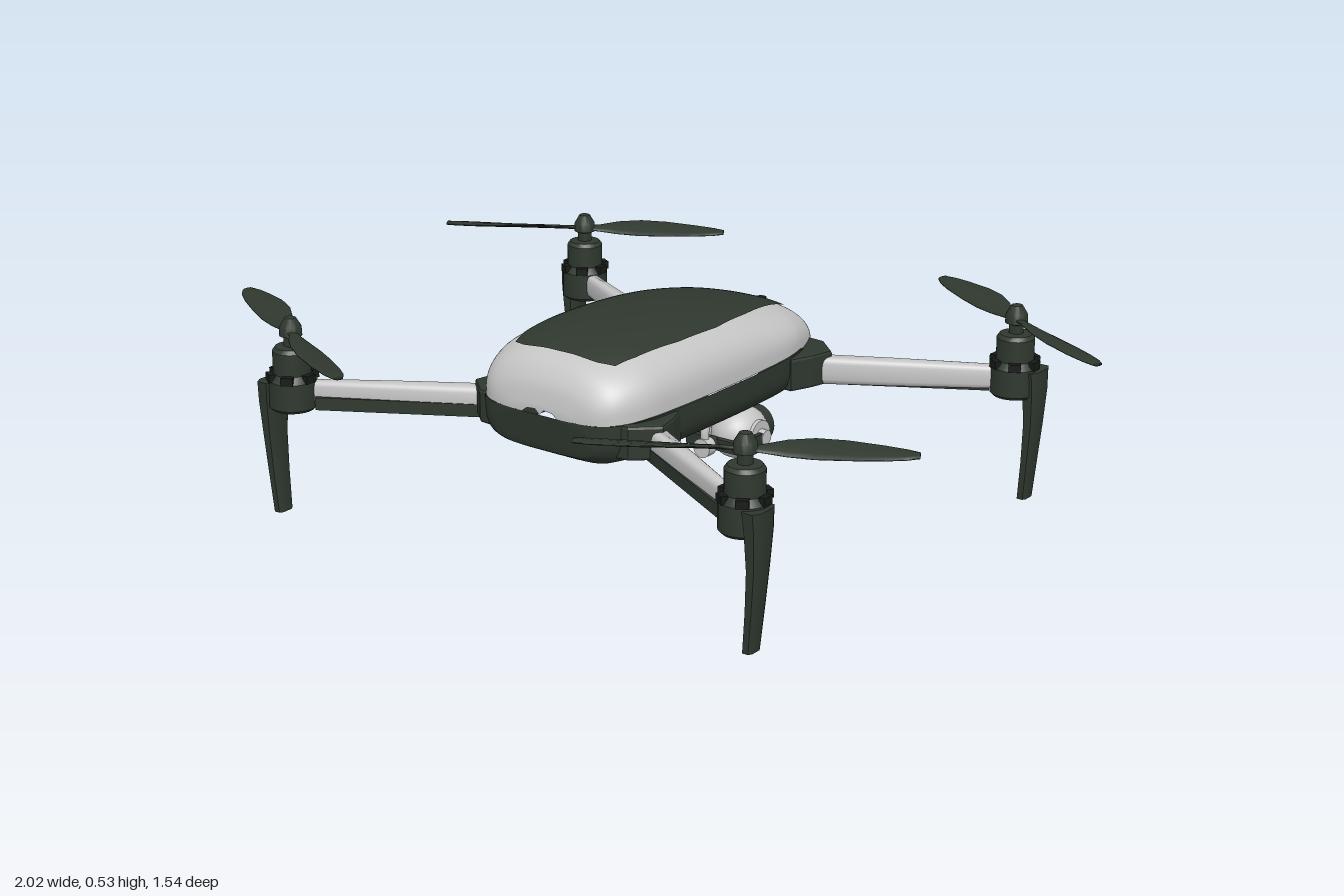
import * as THREE from 'three';
import { mergeVertices, toCreasedNormals } from 'three/addons/utils/BufferGeometryUtils.js';

const V = (x, y, z) => new THREE.Vector3(x, y, z);
const paint = (name, color) => Object.assign(new THREE.MeshStandardMaterial({ color }), { name });

// Linear lookup in a table of [key, value] rows
function look(table, k, col = 1) {
  let i = 1;
  while (i < table.length - 1 && table[i][0] < k) i++;
  const a = table[i - 1], b = table[i];
  return THREE.MathUtils.lerp(a[col], b[col], THREE.MathUtils.clamp((k - a[0]) / (b[0] - a[0]), 0, 1));
}

// Skin a row of cross-sections; closed sections wrap around and get end caps
function loft(rings, closed) {
  const n = rings[0].length, idx = [], pts = rings.flat();
  for (let i = 0; i < rings.length - 1; i++)
    for (let j = 0; j < (closed ? n : n - 1); j++) {
      const a = i * n + j, b = i * n + (j + 1) % n;
      idx.push(a, b, a + n, b, b + n, a + n);
    }
  if (closed) {
    const e = (rings.length - 1) * n;
    for (let j = 1; j < n - 1; j++) idx.push(0, j + 1, j, e, e + j, e + j + 1);
  }
  const g = new THREE.BufferGeometry().setFromPoints(pts);
  g.setIndex(idx);
  g.computeVertexNormals();
  return g;
}

// Copy a geometry to another corner, keeping its faces outward
function mirrored(src, sx, sz) {
  const g = src.index ? src.clone() : mergeVertices(src);
  g.scale(sx, 1, sz);
  if (sx * sz < 0) {
    const a = g.index.array;
    for (let i = 0; i < a.length; i += 3) [a[i], a[i + 1]] = [a[i + 1], a[i]];
  }
  return g;
}

// Body stations: z, half width, top height
const stations = [
  [-0.49, 0, 0.33], [-0.488, 0.06, 0.36], [-0.47, 0.125, 0.395], [-0.43, 0.165, 0.425], [-0.35, 0.205, 0.455],
  [-0.25, 0.235, 0.48], [-0.1, 0.247, 0.507], [0.1, 0.248, 0.522], [0.25, 0.243, 0.519], [0.33, 0.235, 0.507],
  [0.4, 0.205, 0.48], [0.435, 0.165, 0.44], [0.45, 0.1, 0.39], [0.452, 0, 0.36]];
const seam = [[-0.5, 0.33], [-0.4, 0.34], [-0.3, 0.37], [0.32, 0.37], [0.46, 0.36]];
const belly = [[-0.49, 0.33], [-0.47, 0.28], [-0.42, 0.25], [0.4, 0.25], [0.44, 0.27], [0.452, 0.36]];
const panelEdge = [
  [-0.44, 0], [-0.435, 0.06], [-0.41, 0.095], [-0.3, 0.125], [-0.15, 0.16], [0, 0.18],
  [0.15, 0.18], [0.3, 0.165], [0.355, 0.15], [0.372, 0.11], [0.375, 0]];
const body = new THREE.CatmullRomCurve3(stations.map(s => V(...s))).getPoints(78).map(p => [p.x, Math.max(p.y, 0), p.z]);

function topAt(x, z) {
  const t = Math.min(1, Math.abs(x) / Math.max(look(body, z), 1e-4)), s = look(seam, z);
  return s + Math.max(0, look(body, z, 2) - s) * Math.pow(1 - Math.pow(t, 2.4), 1 / 2.8);
}

export function createModel() {
  const model = new THREE.Group();
  const dark = paint('dark green grey', 0x2f382f);
  const pale = paint('pale grey', 0xc6c6c6);
  const black = paint('black', 0x161a17);
  const add = (name, geo, mat, x = 0, y = 0, z = 0, parent = model) => {
    const m = new THREE.Mesh(geo, mat);
    m.name = name;
    m.position.set(x, y, z);
    parent.add(m);
    return m;
  };
  const steps = n => Array.from({ length: n + 1 }, (_, i) => i / n);

  // Upper shell, lower hull and the inlaid top panel
  add('upperShell', loft(body.map(([z, w]) => steps(40).map(u => {
    const x = w * Math.sin(Math.PI * (0.5 - u));
    return V(x, topAt(x, z), z);
  }))), pale);
  add('lowerHull', loft(body.map(([z, w]) => steps(32).map(u => {
    const c = -Math.cos(Math.PI * u), s = Math.sin(Math.PI * u), top = look(seam, z);
    const x = w * 1.015 * Math.sign(c) * Math.pow(Math.abs(c), 0.45);
    return V(x, top - Math.max(0, top - look(belly, z)) * Math.pow(Math.max(s, 0), 0.5), z);
  }))), dark);
  add('topPanel', loft(steps(80).map(v => {
    const z = -0.4075 - 0.0 + 0.391 - 0.016 - 0.4075 * Math.cos(Math.PI * v);
    return steps(24).map(u => {
      const x = look(panelEdge, z) * (1 - 2 * u);
      return V(x, topAt(x, z) + 0.005, z);
    });
  })), dark);
  add('powerButton', new THREE.CylinderGeometry(0.014, 0.014, 0.012, 16), black, 0, topAt(0, -0.445) + 0.004, -0.445);

  // Belly: battery cover with grooves
  add('batteryCover', new THREE.BoxGeometry(0.24, 0.008, 0.46), dark, 0, 0.248, 0.08);
  for (const s of [-1, 1]) {
    add('batteryGrooveSide', new THREE.BoxGeometry(0.008, 0.004, 0.44), black, s * 0.1, 0.243, 0.08);
    add('batteryGrooveEnd', new THREE.BoxGeometry(0.2, 0.004, 0.008), black, 0, 0.243, 0.08 + s * 0.21);
  }

  // One corner: shoulder, arm, motor, leg and propeller
  const armAngle = Math.atan2(0.24, 0.42);
  const placeArm = g => g.rotateY(-armAngle).translate(0.24, 0, 0.325);
  const shoulderShape = new THREE.Shape([[0.16, 0.4], [0.22, 0.395], [0.275, 0.345], [0.262, 0.29], [0.24, 0.235], [0.15, 0.24]]
    .map(p => new THREE.Vector2(...p)));
  const shoulder = new THREE.ExtrudeGeometry(shoulderShape,
    { depth: 0.07, bevelSize: 0.008, bevelThickness: 0.008, bevelSegments: 2 }).rotateX(Math.PI / 2).translate(0, 0.357, 0);

  const arm = placeArm(loft([[0, 0.026, 0.036], [0.2, 0.024, 0.034], [0.45, 0.018, 0.03]].map(([x, w, h]) =>
    steps(15).map(u => {
      const a = u * 15 / 16 * Math.PI * 2, c = Math.cos(a), s = Math.sin(a);
      return V(x, 0.314 + h * Math.sign(c) * Math.abs(c) ** 0.6, w * Math.sign(s) * Math.abs(s) ** 0.6);
    })), true));
  const armStrip = placeArm(new THREE.BoxGeometry(0.42, 0.032, 0.026).translate(0.23, 0.291, 0.014));

  const motor = new THREE.LatheGeometry([
    [0, 0.27], [0.052, 0.27], [0.06, 0.278], [0.06, 0.345], [0.047, 0.362], [0.047, 0.418], [0.04, 0.428], [0.018, 0.43],
    [0.018, 0.452], [0.028, 0.456], [0.027, 0.478], [0.014, 0.5], [0, 0.505]].map(p => new THREE.Vector2(...p)), 28);
  const motorGeo = toCreasedNormals(motor, 0.6).translate(0.675, 0, 0.573);

  const leg = toCreasedNormals(loft([
    [0, 0.708, 0.013, 0.59, 0.023], [0.1, 0.717, 0.014, 0.59, 0.027], [0.2, 0.724, 0.017, 0.59, 0.031],
    [0.29, 0.725, 0.022, 0.59, 0.038], [0.34, 0.722, 0.024, 0.59, 0.042]].map(([y, x, w, z, d]) =>
    [[0.6, 1], [1, 0.6], [1, -0.6], [0.6, -1], [-0.6, -1], [-1, -0.6], [-1, 0.6], [-0.6, 1]]
      .map(([a, b]) => V(x + a * w, y, z + b * d))), true), 0.9);

  // Blade sections: distance, half chord, chord offset, twist
  const blade = loft([
    [0, 0.014, 0, 0.1], [0.04, 0.016, 0, 0.3], [0.09, 0.03, -0.004, 0.32], [0.15, 0.04, -0.006, 0.28],
    [0.22, 0.041, -0.005, 0.22], [0.3, 0.034, 0, 0.16], [0.35, 0.025, 0.003, 0.12], [0.378, 0.014, 0.004, 0.1]]
    .map(([x, c, off, tw]) => steps(9).map(u => {
      const a = u * 0.9 * Math.PI * 2, y = 0.005 * Math.cos(a), z = off + c * Math.sin(a);
      return V(x, y * Math.cos(tw) - z * Math.sin(tw), y * Math.sin(tw) + z * Math.cos(tw));
    })), true);
  const placeBlade = turn => blade.clone().rotateY(0.53 + turn).translate(0.675, 0.464, 0.573);

  const corner = [
    ['shoulder', shoulder, dark], ['arm', arm, pale], ['armUnderStrip', armStrip, dark], ['motor', motorGeo, dark],
    ['landingLeg', leg, dark], ['propellerBlade', placeBlade(0), dark], ['propellerBlade', placeBlade(Math.PI), dark]];
  for (let i = 0; i < 6; i++)
    corner.push(['motorVent', new THREE.BoxGeometry(0.016, 0.02, 0.03).translate(0.055, 0.355, 0)
      .rotateY(i * Math.PI / 3).translate(0.675, 0, 0.573), black]);
  for (const sx of [-1, 1]) for (const sz of [-1, 1]) {
    const g = new THREE.Group();
    g.name = (sz > 0 ? 'front' : 'back') + (sx > 0 ? 'Left' : 'Right') + 'Rotor';
    for (const [name, geo, mat] of corner) add(name, mirrored(geo, sx, sz), mat, 0, 0, 0, g);
    model.add(g);
  }

  // Camera gimbal under the nose
  const gimbal = new THREE.Group();
  gimbal.name = 'cameraGimbal';
  gimbal.position.set(0, 0.088, -0.355);
  model.add(gimbal);
  const part = (name, geo, mat, x, y, z) => add(name, geo, mat, x, y, z, gimbal);
  const disc = (r, h) => new THREE.CylinderGeometry(r, r, h, 28);
  part('mountPlate', new THREE.BoxGeometry(0.16, 0.018, 0.17), pale, 0, 0.152, 0);
  part('damperPlate', new THREE.BoxGeometry(0.13, 0.016, 0.14), pale, 0, 0.13, 0);
  for (const x of [-0.06, 0.06]) for (const z of [-0.06, 0.06]) part('damper', disc(0.013, 0.05), pale, x, 0.142, z);
  part('panMotor', disc(0.036, 0.03), dark, 0, 0.106, -0.02);
  part('panMotorCap', disc(0.03, 0.012), pale, 0, 0.086, -0.02);
  const hanger = new THREE.CatmullRomCurve3([V(0, 0.09, -0.02), V(0, 0.088, 0.05), V(0, 0.07, 0.13), V(0, 0.05, 0.148), V(0, 0, 0.15)]);
  part('hangerArm', new THREE.TubeGeometry(hanger, 30, 0.011, 10), pale, 0, 0, 0);
  part('rollMotor', disc(0.025, 0.03).rotateX(Math.PI / 2), pale, 0, 0, 0.15);
  part('rollMotorBack', disc(0.02, 0.03).rotateX(Math.PI / 2), dark, 0, 0, 0.125);
  part('yokeBar', new THREE.BoxGeometry(0.166, 0.03, 0.018), dark, 0, 0, 0.11);
  const ball = new THREE.SphereGeometry(0.074, 32, 24);
  ball.scale(0.95, 0.93, 1.08);
  part('cameraBall', ball, pale, 0, 0, 0);
  for (const s of [-1, 1]) {
    part('yokeSide', new THREE.BoxGeometry(0.012, 0.03, 0.115), dark, s * 0.077, 0, 0.06);
    part('tiltMotor', disc(0.042, 0.03).rotateZ(Math.PI / 2), pale, s * 0.052, 0, 0);
    part('tiltMotorCap', disc(0.02, 0.03).rotateZ(Math.PI / 2), pale, s * 0.071, 0, 0);
  }
  part('lensRing', disc(0.05, 0.04).rotateX(Math.PI / 2), dark, 0, 0, -0.065);
  part('lensBarrel', disc(0.034, 0.012).rotateX(Math.PI / 2), pale, 0, 0, -0.083);
  part('lensGlass', disc(0.026, 0.008).rotateX(Math.PI / 2), black, 0, 0, -0.087);

  return model;
}
